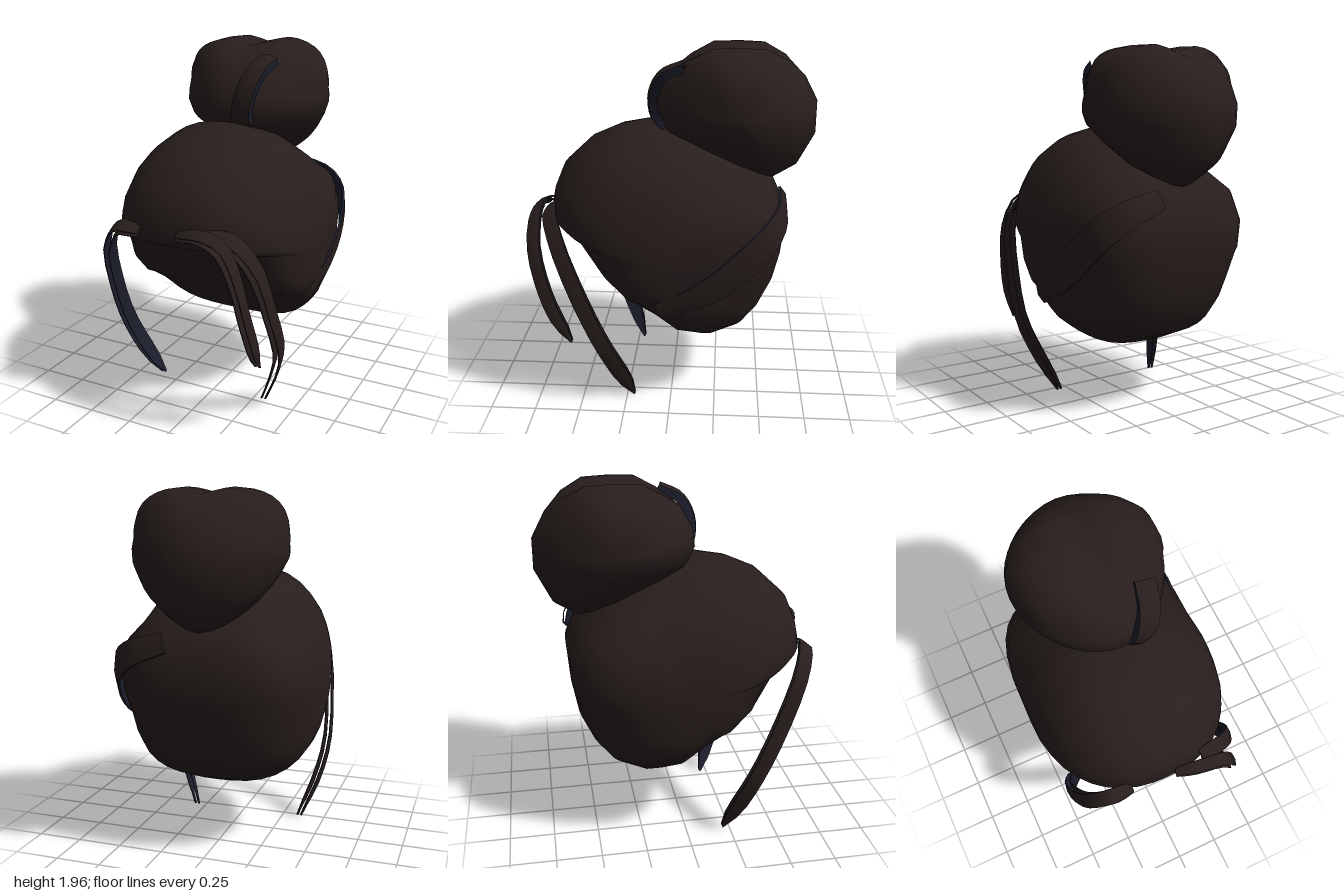
import * as THREE from 'three';
import { mergeVertices } from 'three/addons/utils/BufferGeometryUtils.js';

const hair = new THREE.MeshStandardMaterial({ color: 0x281e1d });
hair.name = 'dark brown hair';
const lining = new THREE.MeshStandardMaterial({ color: 0x1c1e2c });
lining.name = 'navy lining';

const { lerp, smoothstep } = THREE.MathUtils;

function makeMesh(name, positions, index, material) {
  let geo = new THREE.BufferGeometry();
  geo.setAttribute('position', new THREE.Float32BufferAttribute(positions, 3));
  geo.setIndex(index);
  geo = mergeVertices(geo, 1e-4);
  geo.computeVertexNormals();
  const mesh = new THREE.Mesh(geo, material);
  mesh.name = name;
  return mesh;
}

// Closed volume: [z, y] profiles swept over x, blending from middle to side and
// shrinking to the poles; power(z, y) sets how boxy each part of the outline is
function loft(name, { mid, side = mid, center, halfWidth, power, shift = () => 0 }) {
  const steps = 20, n = mid.length, pos = [], index = [];
  for (let j = 0; j <= steps; j++) {
    const u = Math.sin((j / steps - 0.5) * Math.PI);
    for (let i = 0; i < n; i++) {
      const k = power(mid[i][0], mid[i][1]);
      const s = Math.pow(Math.max(0, 1 - Math.pow(Math.abs(u), k)), 1 / k);
      const z = lerp(mid[i][0], side[i][0], u * u);
      const y = lerp(mid[i][1], side[i][1], u * u);
      const py = center[1] + (y - center[1]) * s;
      pos.push(u * halfWidth, py + shift(u, py), center[0] + (z - center[0]) * s);
    }
  }
  for (let j = 0; j < steps; j++) {
    for (let i = 0; i < n; i++) {
      const a = j * n + i, b = j * n + (i + 1) % n, c = a + n, d = b + n;
      if (j === 0) index.push(a, c, d);
      else if (j === steps - 1) index.push(a, c, b);
      else index.push(a, c, b, b, c, d);
    }
  }
  return makeMesh(name, pos, index, hair);
}

// Thin curved strip: brown outer face, navy inner face and rims.
// across is the width direction, out(p) the rough outward direction.
function strip(name, points, width, across, out, thick) {
  const group = new THREE.Group();
  group.name = name;
  const curve = new THREE.CatmullRomCurve3(points.map((p) => new THREE.Vector3(...p)));
  const steps = 14, outer = [], inner = [], front = [], back = [], rim = [], rimIndex = [];
  for (let k = 0; k <= steps; k++) {
    const t = k / steps, p = curve.getPoint(t), tan = curve.getTangent(t);
    const w = across.clone().addScaledVector(tan, -across.dot(tan)).normalize();
    const normal = new THREE.Vector3().crossVectors(w, tan).normalize();
    if (normal.dot(out(p)) < 0) { normal.negate(); w.negate(); }
    for (const side of [-1, 0, 1]) {
      const q = p.clone().addScaledVector(w, side * width(t) / 2);
      outer.push(...q.clone().addScaledVector(normal, side ? 0 : Math.min(thick, 0.014)));
      inner.push(...q.clone().addScaledVector(normal, -thick * (side ? 0.9 : 0.3)));
    }
  }
  for (let k = 0; k < steps; k++) {
    for (let i = 0; i < 2; i++) {
      const a = k * 3 + i, b = a + 1, c = a + 3, d = a + 4;
      front.push(a, b, c, b, d, c);
      back.push(a, c, b, b, c, d);
    }
  }
  for (const i of [0, 2]) {
    for (let k = 0; k <= steps; k++) {
      const o = (k * 3 + i) * 3, v = rim.length / 3;
      rim.push(...outer.slice(o, o + 3), ...inner.slice(o, o + 3));
      if (k === steps) continue;
      if (i === 0) rimIndex.push(v, v + 2, v + 1, v + 1, v + 2, v + 3);
      else rimIndex.push(v, v + 1, v + 2, v + 1, v + 3, v + 2);
    }
  }
  group.add(makeMesh(name + 'Outer', outer, front, hair));
  group.add(makeMesh(name + 'Inner', inner, back, lining));
  group.add(makeMesh(name + 'Rim', rim, rimIndex, lining));
  return group;
}

// Face-framing lock made of two parallel leaves with a gap between them
function lock(name, points, width) {
  const group = new THREE.Group();
  group.name = name;
  const across = new THREE.Vector3(0, -0.6, 1);
  const out = (p) => new THREE.Vector3(p.x, 0.3, 0.1);
  const taper = (t) => width * Math.min(1, 0.6 + t * 4, 0.15 + (1 - t) * 9);
  for (const [leaf, offset] of [['OuterLeaf', 0.016], ['InnerLeaf', -0.016]]) {
    const last = points.length - 1;
    const moved = points.map(([x, y, z], i) => {
      const spread = offset * Math.min(1, i / 2) * (i === last ? 0.7 : 1);
      return [x + Math.sign(x) * spread, y + (i < 3 ? offset * 0.6 : 0), z];
    });
    group.add(strip(name + leaf, moved, taper, across, out, 0.006));
  }
  return group;
}

export function createModel() {
  const model = new THREE.Group();
  model.name = 'hairWithBun';

  // Main cap with a hollowed face opening; ear points hang lower at the sides
  const mid = [
    [0.685, 1.1], [0.66, 1.22], [0.61, 1.34], [0.46, 1.48], [0.3, 1.55], [0.08, 1.59],
    [-0.15, 1.53], [-0.36, 1.42], [-0.54, 1.28], [-0.62, 1.1], [-0.605, 0.92], [-0.57, 0.73],
    [-0.5, 0.58], [-0.41, 0.47], [-0.25, 0.4], [-0.19, 0.4], [-0.07, 0.43],
    [0.05, 0.585], [0.22, 0.775], [0.25, 0.805], [0.4, 0.91], [0.58, 1.02], [0.64, 1.05],
  ];
  const side = mid.map((p) => p.slice());
  side[16] = [-0.04, 0.4];
  side[17] = [0.1, 0.47];
  side[18] = [0.23, 0.47];
  side[19] = [0.32, 0.49];
  side[20] = [0.52, 0.69];
  model.add(loft('hairCap', {
    mid, side, center: [0.05, 0.93], halfWidth: 0.543,
    power: (z, y) => {
      const back = 1.2 * smoothstep(-z, 0.1, 0.5) * (1 - smoothstep(y, 1.2, 1.5)) * smoothstep(y, 0.55, 1.0);
      const bottom = 0.4 * (1 - smoothstep(y, 0.6, 0.95));
      return 2.3 + Math.max(back, bottom);
    },
  }));

  // Bun: boxy and slightly parted on top, narrowing to the front, back and bottom
  model.add(loft('bun', {
    mid: [
      [0.1, 1.64], [0.09, 1.74], [0.02, 1.86], [-0.08, 1.94], [-0.2, 2.0], [-0.35, 2.005],
      [-0.49, 2.0], [-0.61, 1.94], [-0.7, 1.84], [-0.77, 1.71], [-0.77, 1.54], [-0.68, 1.36],
      [-0.55, 1.28], [-0.35, 1.32], [-0.12, 1.43], [0.05, 1.54],
    ],
    center: [-0.36, 1.68], halfWidth: 0.41,
    power: (z, y) => lerp(1.6, 1.85, smoothstep(y, 1.28, 1.65))
      + 1.0 * smoothstep(y, 1.75, 1.98) * (1 - smoothstep(Math.abs(z + 0.33), 0.1, 0.42)),
    shift: (u, y) => Math.max(0, y - 1.85) * (0.25 * Math.min(1, Math.abs(u) * 3) - 0.24),
  }));

  // Loose locks framing the face
  model.add(lock('leftLongLock', [
    [0.2, 1.15, 0.66], [0.32, 1.13, 0.65], [0.42, 0.98, 0.59], [0.46, 0.7, 0.48],
    [0.465, 0.45, 0.37], [0.4, 0.25, 0.29], [0.305, 0.04, 0.21],
  ], 0.085));
  model.add(lock('leftShortLock', [
    [0.04, 1.13, 0.69], [0.17, 1.16, 0.72], [0.3, 1.12, 0.73], [0.38, 0.97, 0.73],
    [0.41, 0.77, 0.69], [0.425, 0.6, 0.63], [0.42, 0.43, 0.54],
  ], 0.07));
  model.add(lock('rightLongLock', [
    [-0.2, 1.11, 0.66], [-0.32, 1.12, 0.66], [-0.42, 1.0, 0.61], [-0.465, 0.75, 0.51],
    [-0.48, 0.48, 0.39], [-0.44, 0.27, 0.3], [-0.355, 0.05, 0.21],
  ], 0.085));

  // Swept lock round the left side to the back
  model.add(strip('sideLock', [
    [0.51, 0.67, 0.05], [0.533, 0.77, -0.15], [0.533, 0.87, -0.3], [0.51, 1.0, -0.44],
    [0.46, 1.09, -0.53], [0.35, 1.17, -0.595], [0.17, 1.23, -0.6],
  ], (t) => 0.11 + 0.06 * Math.sin(t * Math.PI), new THREE.Vector3(0.22, 1, 0.35),
  (p) => new THREE.Vector3(p.x, 0, p.z), 0.014));

  // Lock over the front of the bun
  model.add(strip('bunLock', [
    [0.09, 1.57, 0.06], [0.1, 1.64, 0.11], [0.13, 1.77, 0.115], [0.165, 1.88, 0.055], [0.19, 1.935, -0.06],
  ], () => 0.105, new THREE.Vector3(1, 0, 0), () => new THREE.Vector3(0, 0.5, 1), 0.05));

  return model;
}
